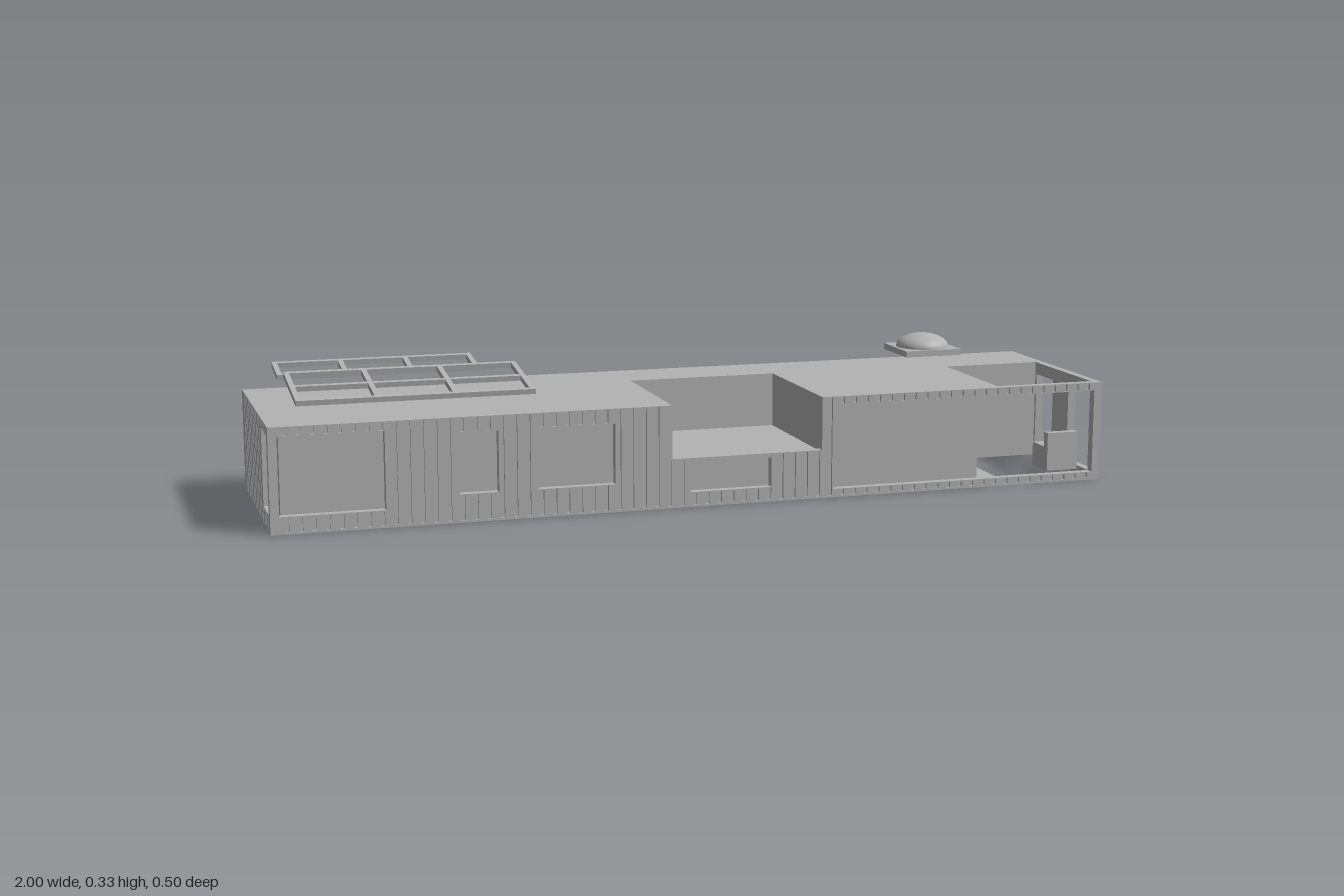
import * as THREE from 'three';

const grey = new THREE.MeshStandardMaterial({ color: 0xb3b3b3 });
grey.name = 'grey';

function add(parent, name, geometry) {
  const mesh = new THREE.Mesh(geometry, grey);
  mesh.name = name;
  parent.add(mesh);
  return mesh;
}

// Box given by its low and high corners
function box(parent, name, [x0, y0, z0], [x1, y1, z1]) {
  const mesh = add(parent, name, new THREE.BoxGeometry(x1 - x0, y1 - y0, z1 - z0));
  mesh.position.set((x0 + x1) / 2, (y0 + y1) / 2, (z0 + z1) / 2);
  return mesh;
}

const polygon = (points) => new THREE.Shape(points.map(([x, y]) => new THREE.Vector2(x, y)));
const rect = (x0, y0, x1, y1) => polygon([[x0, y0], [x1, y0], [x1, y1], [x0, y1]]);

// Horizontal slab from a plan of [x, z] points
function slab(parent, name, plan, y0, y1) {
  const shape = polygon(plan.map(([x, z]) => [x, -z]));
  const geometry = new THREE.ExtrudeGeometry(shape, { depth: y1 - y0, bevelEnabled: false });
  geometry.rotateX(-Math.PI / 2).translate(0, y0, 0);
  add(parent, name, geometry);
}

const HEIGHT = 0.24, WALL = 0.02, SKIN = 0.006, PITCH = 0.0301;
const TERRACE = { x0: -0.085, x1: 0.28, z: -0.10, y: 0.11, lip: 0.115 };
const PATIO = { x: 0.733, z: -0.07 };

// Grooved wall; openings are [u0, y0, u1, y1], notch is a low stretch of wall
function wall(parent, name, half, openings, angle, offset, phase, notch) {
  const outline = [[-half, 0], [half, 0], [half, HEIGHT]];
  if (notch) outline.push([notch.x1, HEIGHT], [notch.x1, notch.lip], [notch.x0, notch.lip], [notch.x0, HEIGHT]);
  outline.push([-half, HEIGHT]);

  const grooves = [];
  for (let k = -40; k <= 40; k++) {
    const u0 = phase + k * PITCH - 0.0045, u1 = u0 + 0.009;
    if (u0 < -half + 0.004 || u1 > half - 0.004) continue;
    const low = notch && u1 > notch.x0 - 0.002 && u0 < notch.x1 + 0.002;
    let spans = [[0.005, low ? notch.lip - 0.003 : 0.238]];
    for (const [a, y0, b, y1] of openings) {
      if (u1 < a - 0.001 || u0 > b + 0.001) continue;
      spans = spans.flatMap(([s, e]) => [[s, Math.min(e, y0 - 0.002)], [Math.max(s, y1 + 0.002), e]]);
    }
    for (const [s, e] of spans) if (e - s > 0.006) grooves.push([u0, s, u1, e]);
  }

  const group = new THREE.Group();
  group.name = name;
  const layer = (label, holes, depth, z) => {
    const shape = polygon(outline);
    shape.holes = holes.map((h) => rect(...h));
    const geometry = new THREE.ExtrudeGeometry(shape, { depth, bevelEnabled: false });
    add(group, label, geometry.translate(0, 0, z));
  };
  layer('wallBacking', openings, WALL - SKIN, offset);
  layer('groovedCladding', [...openings, ...grooves], SKIN, offset + WALL - SKIN);
  group.rotation.y = angle;
  parent.add(group);
}

// Tilted open frame divided into columns and rows
function panelFrame(parent, name, x0, x1, z0, z1, yMid, rows) {
  const tilt = 0.149, bar = 0.012, cols = 3;
  const w = x1 - x0, d = (z1 - z0) / Math.cos(tilt);
  const frame = new THREE.Group();
  frame.name = name;
  for (let i = 0; i <= cols; i++) {
    const x = -w / 2 + bar / 2 + (i * (w - bar)) / cols;
    box(frame, 'frameUpright', [x - bar / 2, -0.006, -d / 2], [x + bar / 2, 0.006, d / 2]);
  }
  for (let j = 0; j <= rows; j++) {
    const z = -d / 2 + bar / 2 + (j * (d - bar)) / rows;
    box(frame, 'frameRail', [-w / 2, -0.006, z - bar / 2], [w / 2, 0.006, z + bar / 2]);
  }
  frame.position.set((x0 + x1) / 2, yMid, (z0 + z1) / 2);
  frame.rotation.x = tilt;
  parent.add(frame);
}

export function createModel() {
  const model = new THREE.Group();
  model.name = 'containerHouse';

  // Outer walls
  wall(model, 'frontWall', 1, [
    [-0.98, 0.04, -0.745, 0.218],
    [-0.58, 0.065, -0.49, 0.205],
    [-0.40, 0.065, -0.22, 0.205],
    [-0.04, 0.035, 0.155, 0.105],
    [0.31, 0.02, 0.98, 0.22],
  ], 0, 0.23, 0, TERRACE);
  wall(model, 'backWall', 1, [
    [-0.69, 0.07, -0.61, 0.205],
    [-0.17, 0.07, -0.07, 0.205],
    [0.02, 0.005, 0.11, 0.21],
    [0.15, 0.13, 0.28, 0.205],
    [0.44, 0.07, 0.55, 0.205],
    [0.70, 0.07, 0.80, 0.205],
  ], Math.PI, 0.23, 0);
  wall(model, 'patioEndWall', 0.23, [
    [-0.228, 0.02, -0.115, 0.22],
    [-0.03, 0.005, 0.063, 0.21],
  ], Math.PI / 2, 0.98, -0.006);
  wall(model, 'windowEndWall', 0.23, [[0.13, 0.04, 0.228, 0.218]], -Math.PI / 2, 0.98, 0.006);

  // Floor and roof, both cut away at the patio corner
  const t = TERRACE, p = PATIO;
  const patioEdge = [[p.x, 0.23], [p.x, p.z], [0.98, p.z], [0.98, -0.23]];
  slab(model, 'floor', [[-0.98, -0.23], [-0.98, 0.23], ...patioEdge], 0, 0.02);
  const terraceEdge = [[t.x0, 0.23], [t.x0, t.z], [t.x1, t.z], [t.x1, 0.23]];
  slab(model, 'roof', [[-0.98, -0.23], [-0.98, 0.23], ...terraceEdge, ...patioEdge], 0.22, HEIGHT);

  // Rooms behind the openings, with a covered niche beside the patio
  slab(model, 'rooms', [
    [-0.975, -0.23], [-0.975, 0.23], ...terraceEdge,
    [0.684, 0.23], [0.684, 0.12], [p.x, 0.12], [p.x, p.z], [0.98, p.z], [0.98, -0.23],
  ], 0.02, 0.22);
  box(model, 'terraceFloor', [t.x0, 0.02, t.z], [t.x1, t.y, 0.23]);

  // Patio chair
  const chair = new THREE.Group();
  chair.name = 'chair';
  box(chair, 'chairSeat', [0.88, 0.02, 0.13], [0.96, 0.077, 0.19]);
  box(chair, 'chairBack', [0.88, 0.02, 0.19], [0.96, 0.113, 0.21]);
  model.add(chair);

  // Roof fittings
  panelFrame(model, 'frontPanelFrame', -0.935, -0.40, 0.027, 0.235, 0.302, 2);
  panelFrame(model, 'backPanelFrame', -0.935, -0.46, -0.197, -0.095, 0.298, 1);
  box(model, 'skylightBase', [0.602, 0.277, -0.167], [0.748, 0.292, -0.02]);
  const dome = add(model, 'skylightDome',
    new THREE.SphereGeometry(0.065, 40, 16, 0, Math.PI * 2, 0, Math.PI / 2));
  dome.scale.y = 0.52;
  dome.position.set(0.675, 0.292, -0.093);

  return model;
}
